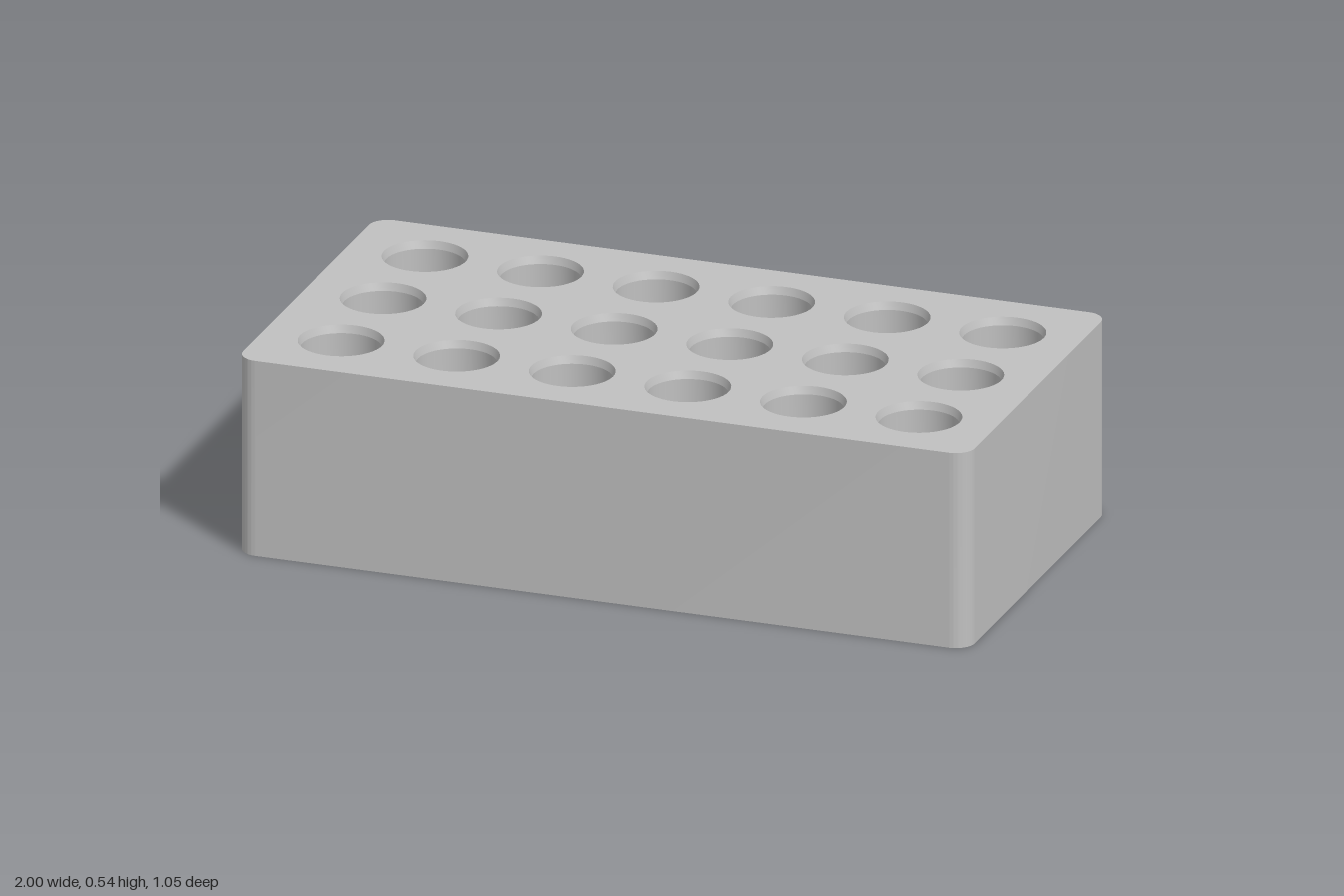
import * as THREE from 'three';
import { toCreasedNormals } from 'three/addons/utils/BufferGeometryUtils.js';

const U = 2 / 38; // the block is 38 units long, 20 deep
const W = 1, D = 10 * U, H = 0.538, CORNER = U;
const RIM = 2.12 * U, BORE = 2 * U, DRAIN = 0.5 * U;
const FLOOR = U, CHAMFER = 0.4 * U, SEG = 48;

const centres = [];
for (let i = 0; i < 6; i++)
  for (let j = 0; j < 3; j++) centres.push([(i - 2.5) * 6 * U, (j - 1) * 6 * U]);

function outline() {
  const s = new THREE.Shape(), q = Math.PI / 2;
  s.absarc(W - CORNER, D - CORNER, CORNER, 0, q);
  s.absarc(-W + CORNER, D - CORNER, CORNER, q, 2 * q);
  s.absarc(-W + CORNER, -D + CORNER, CORNER, 2 * q, 3 * q);
  s.absarc(W - CORNER, -D + CORNER, CORNER, 3 * q, 4 * q);
  s.closePath();
  return s;
}

// Flat plate with a round hole at every well
function plate(radius) {
  const s = outline();
  for (const [x, z] of centres)
    s.holes.push(new THREE.Path().absarc(x, z, radius, 0, Math.PI * 2, true));
  return new THREE.ShapeGeometry(s, SEG / 2);
}

// Vertical wall swept around the rounded outline
function wall() {
  const p = outline().getPoints(12), pos = [];
  for (let i = 0; i < p.length; i++) {
    const a = p[i], b = p[(i + 1) % p.length];
    if (a.distanceTo(b) < 1e-6) continue;
    pos.push(a.x, 0, -a.y, b.x, 0, -b.y, b.x, H, -b.y);
    pos.push(a.x, 0, -a.y, b.x, H, -b.y, a.x, H, -a.y);
  }
  const g = new THREE.BufferGeometry();
  g.setAttribute('position', new THREE.Float32BufferAttribute(pos, 3));
  return toCreasedNormals(g, 0.5);
}

export function createModel() {
  const group = new THREE.Group();
  group.name = 'tubeRack';
  const grey = new THREE.MeshStandardMaterial({ color: 0xc0c0c0 });
  grey.name = 'light grey';
  const add = (name, geometry) => {
    const m = new THREE.Mesh(geometry, grey);
    m.name = name;
    group.add(m);
    return m;
  };

  // Outer skin
  add('sideWall', wall());
  add('topFace', plate(RIM).rotateX(-Math.PI / 2).translate(0, H, 0));
  add('bottomFace', plate(DRAIN).rotateX(Math.PI / 2));

  // Wells: chamfered rim, straight bore, flat floor and drain hole
  const profile = [[RIM, H], [BORE, H - CHAMFER], [BORE, FLOOR], [DRAIN, FLOOR], [DRAIN, 0]]
    .map(([r, y]) => new THREE.Vector2(r, y));
  const well = toCreasedNormals(new THREE.LatheGeometry(profile, SEG), 0.2);
  for (const [x, z] of centres) add('well', well).position.set(x, 0, z);

  return group;
}
